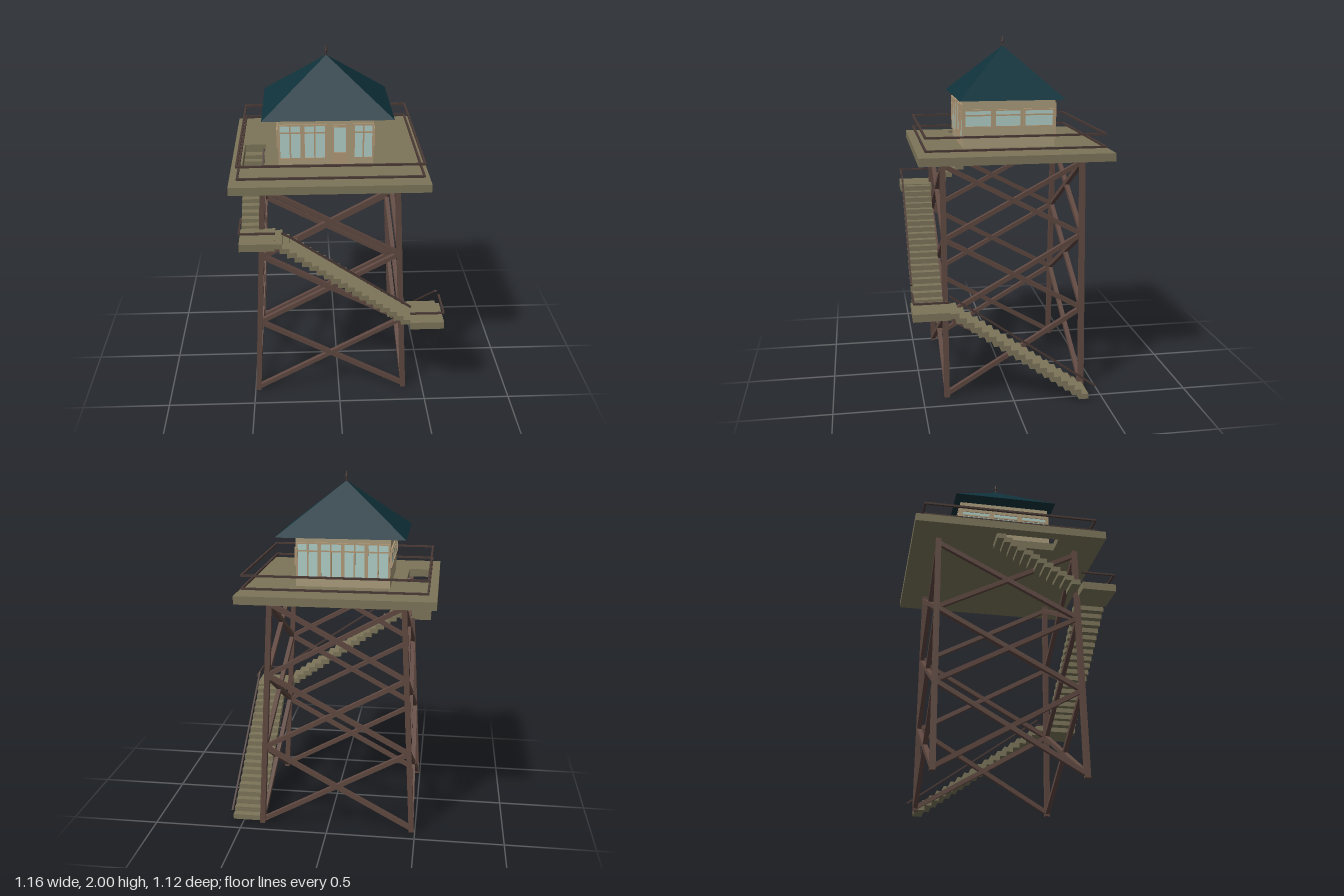
import * as THREE from 'three';

const mat = (name, color) => {
  const m = new THREE.MeshStandardMaterial({ color, flatShading: true });
  m.name = name;
  return m;
};

export function createModel() {
  const deckWood = mat('deck wood', 0x7c755a);
  const beamWood = mat('beam wood', 0x5f4840);
  const railWood = mat('rail wood', 0x4b3a35);
  const roofTeal = mat('roof teal', 0x0f323b);
  const wallTan = mat('wall tan', 0xab9c7c);
  const trimTan = mat('trim tan', 0xb29a78);
  const glassPale = mat('pale glass', 0xb0cfc6);

  const model = new THREE.Group();
  model.name = 'lookoutTower';
  const group = (name, parent = model) => {
    const g = new THREE.Group();
    g.name = name;
    parent.add(g);
    return g;
  };
  const add = (parent, name, geo, material) => {
    const m = new THREE.Mesh(geo, material);
    m.name = name;
    parent.add(m);
    return m;
  };
  // box given by its min and max on each axis
  const block = (parent, name, x0, x1, y0, y1, z0, z1, material) => {
    const m = add(parent, name, new THREE.BoxGeometry(x1 - x0, y1 - y0, z1 - z0), material);
    m.position.set((x0 + x1) / 2, (y0 + y1) / 2, (z0 + z1) / 2);
    return m;
  };
  // square bar between two points
  const bar = (parent, name, a, b, t, material) => {
    const p = new THREE.Vector3(...a), q = new THREE.Vector3(...b);
    const m = add(parent, name, new THREE.BoxGeometry(t, t, p.distanceTo(q) + t * 0.6), material);
    m.position.copy(p).add(q).multiplyScalar(0.5);
    m.lookAt(q);
    return m;
  };
  const rail = (parent, name, points, t = 0.01) => {
    for (let i = 1; i < points.length; i++) bar(parent, name, points[i - 1], points[i], t, railWood);
  };

  // Legs lean inward along x, upright along z
  const frame = group('supportFrame');
  const legPoint = (side, y, z) => [-0.048 + side * (0.433 - 0.0525 * y), y, z];
  const backZ = -0.415, frontZ = 0.365;
  for (const s of [-1, 1])
    for (const z of [backZ, frontZ])
      bar(frame, 'leg', legPoint(s, 0.01, z), legPoint(s, 1.34, z), 0.03, beamWood);

  // Three crossed braces on every side
  const levels = [0.02, 0.48, 0.91, 1.32];
  for (let i = 0; i < 3; i++) {
    const lo = levels[i], hi = levels[i + 1];
    for (const s of [-1, 1]) {
      for (const z of [backZ, frontZ])
        bar(frame, 'crossBrace', legPoint(s, lo, z), legPoint(-s, hi, z), 0.025, beamWood);
      bar(frame, 'crossBrace', legPoint(s, lo, backZ), legPoint(s, hi, frontZ), 0.025, beamWood);
      bar(frame, 'crossBrace', legPoint(s, lo, frontZ), legPoint(s, hi, backZ), 0.025, beamWood);
    }
  }

  // Platform with a stair opening
  const rect = (P, x0, x1, z0, z1) => {
    const p = new P();
    p.moveTo(x0, z0);
    p.lineTo(x1, z0);
    p.lineTo(x1, z1);
    p.lineTo(x0, z1);
    p.closePath();
    return p;
  };
  const plan = rect(THREE.Shape, -0.585, 0.48, -0.56, 0.505);
  plan.holes.push(rect(THREE.Path, -0.525, -0.405, -0.105, 0.245));
  const deck = new THREE.ExtrudeGeometry(plan, { depth: 0.045, bevelEnabled: false });
  deck.rotateX(Math.PI / 2);
  deck.translate(0, 1.39, 0);
  add(model, 'platform', deck, deckWood);

  // Two rails around the platform
  const railing = group('platformRailing');
  for (const y of [1.42, 1.49]) {
    const c = [[-0.537, -0.508], [0.443, -0.508], [0.443, 0.463], [-0.537, 0.463], [-0.537, -0.508]];
    rail(railing, 'platformRail', c.map(([x, z]) => [x, y, z]), 0.011);
  }

  // Stairs: treads overlap so each flight is one stepped ribbon
  const stairs = group('stairs');
  const flight = (name, n, axis, from, to, y0, y1, c0, c1) => {
    const g = group(name, stairs);
    const run = (to - from) / n, rise = (y1 - y0) / n;
    for (let i = 0; i < n; i++) {
      const a = from + run * i, b = a + run * 1.35;
      const lo = Math.min(a, b), hi = Math.max(a, b), top = y0 + rise * (i + 1);
      if (axis === 'x') block(g, 'step', lo, hi, top - 0.03, top, c0, c1, deckWood);
      else block(g, 'step', c0, c1, top - 0.03, top, lo, hi, deckWood);
    }
  };
  flight('lowerFlight', 19, 'z', -0.415, 0.35, 0.01, 0.56, 0.385, 0.56);
  flight('middleFlight', 19, 'x', 0.39, -0.35, 0.56, 1.08, 0.38, 0.55);
  flight('upperFlight', 12, 'z', 0.36, -0.09, 1.075, 1.345, -0.535, -0.41);
  block(stairs, 'lowerLanding', 0.39, 0.578, 0.53, 0.573, 0.358, 0.558, deckWood);
  block(stairs, 'upperLanding', -0.54, -0.35, 1.042, 1.085, 0.37, 0.558, deckWood);

  // Stair and landing handrails
  rail(stairs, 'lowerHandrail', [[0.555, 0.085, -0.45], [0.555, 0.655, 0.355]]);
  rail(stairs, 'lowerLandingRail', [[0.573, 0.63, 0.36], [0.573, 0.63, 0.551], [0.39, 0.63, 0.551]]);
  rail(stairs, 'middleHandrail', [[0.385, 0.675, 0.551], [-0.265, 1.12, 0.551], [-0.31, 1.145, 0.551]]);
  rail(stairs, 'upperLandingRail', [[-0.35, 1.145, 0.551], [-0.536, 1.145, 0.551], [-0.536, 1.145, 0.37]]);
  rail(stairs, 'upperHandrail', [[-0.425, 1.15, 0.35], [-0.425, 1.17, 0.3], [-0.415, 1.39, -0.03]]);

  // Cabin
  const cx = -0.067, cz = -0.025, hx = 0.258, hz = 0.26;
  const cabin = group('cabin');
  block(cabin, 'cabinWalls', cx - hx, cx + hx, 1.39, 1.668, cz - hz, cz + hz, wallTan);

  // Each wall group has its own x along the wall and z outward
  const wall = (name, angle, dist) => {
    const g = group(name, cabin);
    g.position.set(cx, 0, cz);
    g.rotation.y = angle;
    const pane = (label, u0, u1, y0, y1, columns, split) => {
      const w = group(label, g), t = 0.008;
      const strip = (a, b, c, d) => block(w, 'windowFrame', a, b, c, d, dist, dist + 0.008, trimTan);
      block(w, 'glass', u0, u1, y0, y1, dist, dist + 0.004, glassPale);
      strip(u0 - t / 2, u1 + t / 2, y1 - t / 2, y1 + t / 2);
      strip(u0 - t / 2, u1 + t / 2, y0 - t / 2, y0 + t / 2);
      for (let i = 0; i <= columns; i++) {
        const u = u0 + ((u1 - u0) * i) / columns;
        strip(u - t / 2, u + t / 2, y0, y1);
      }
      if (split) strip(u0, u1, split - t / 2, split + t / 2);
    };
    return { g, pane };
  };

  const front = wall('frontWall', 0, hz);
  for (const [a, b] of [[-0.318, -0.2], [-0.185, -0.068], [0.085, 0.187]])
    front.pane('tallWindow', a - cx, b - cx, 1.44, 1.63, 2, 1.588);
  block(front.g, 'door', -0.033 - cx, 0.05 - cx, 1.39, 1.63, hz, hz + 0.003, trimTan);
  front.pane('doorWindow', -0.028 - cx, 0.045 - cx, 1.47, 1.62, 1);

  const back = wall('backWall', Math.PI, hz);
  for (let i = 0; i < 4; i++) {
    const u = -0.25 + i * 0.128;
    back.pane('tallWindow', u, u + 0.116, 1.44, 1.63, 2, 1.588);
  }

  for (const s of [1, -1]) {
    const side = wall(s > 0 ? 'leftWall' : 'rightWall', (s * Math.PI) / 2, hx);
    for (const [a, b] of [[-0.25, -0.1], [-0.08, 0.066], [0.085, 0.25]])
      side.pane('lowWindow', s > 0 ? a : -b, s > 0 ? b : -a, 1.507, 1.6, 1, 1.572);
  }

  // Hipped roof and finial
  const roof = new THREE.ConeGeometry(Math.SQRT2, 0.278, 4);
  roof.rotateY(Math.PI / 4);
  roof.scale(0.355, 1, 0.293);
  add(model, 'roof', roof, roofTeal).position.set(-0.055, 1.801, -0.028);
  const finial = [[0.004, 0], [0.004, 0.03], [0.008, 0.038], [0.006, 0.05], [0, 0.075]];
  add(model, 'finial', new THREE.LatheGeometry(finial.map(p => new THREE.Vector2(...p)), 8), railWood)
    .position.set(-0.055, 1.925, -0.028);

  return model;
}
